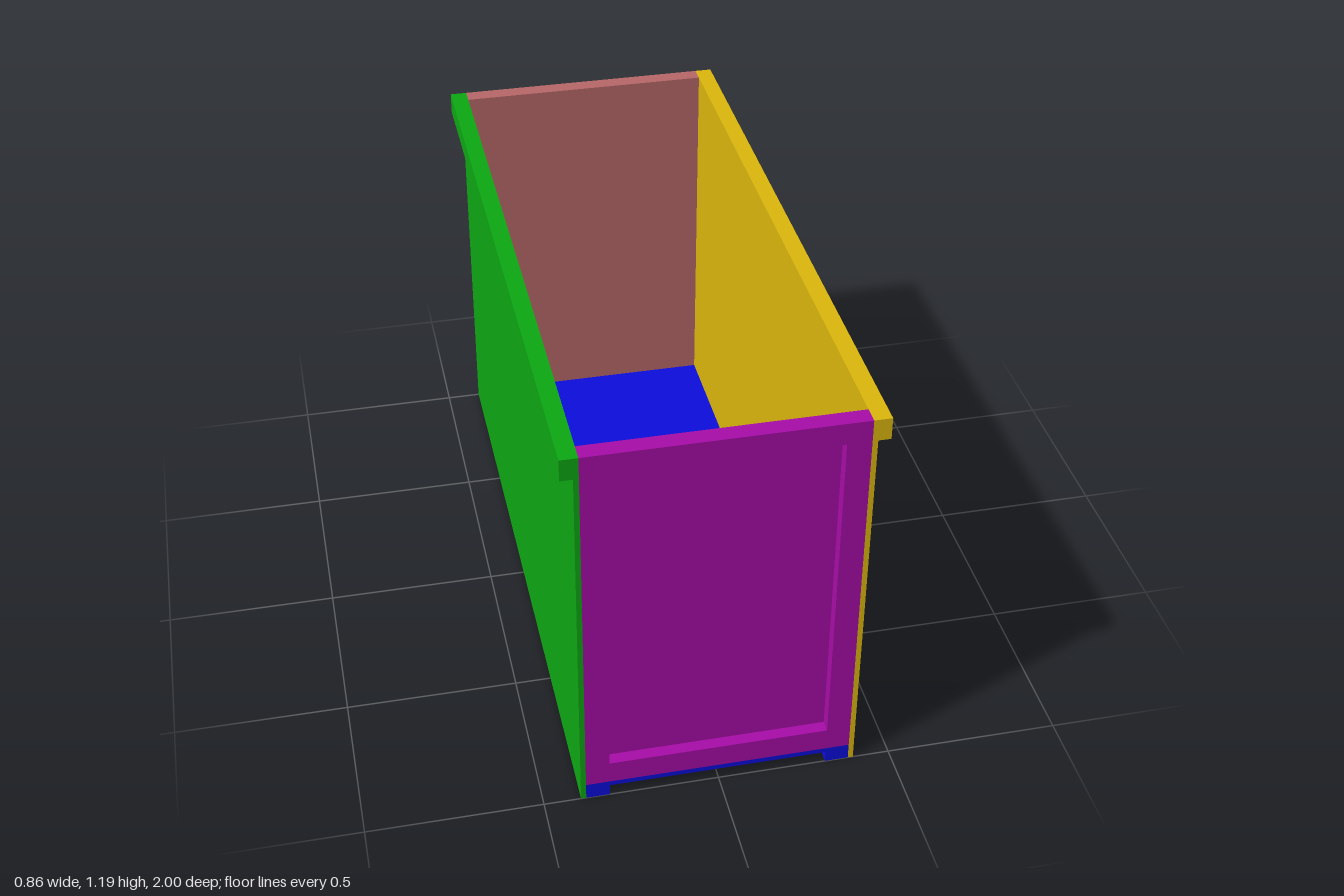
import * as THREE from 'three';

const HALF_X = 0.38;   // inner face of the side walls
const TOP = 1.19;
const SHEET = 0.015;   // sheet thickness
const FLOOR = 0.05;    // top of the floor

const material = (color) => new THREE.MeshStandardMaterial({ color, flatShading: true });

function addMesh(parent, name, geometry, mat, x = 0, y = 0, z = 0) {
  const mesh = new THREE.Mesh(geometry, mat);
  mesh.name = name;
  mesh.position.set(x, y, z);
  parent.add(mesh);
  return mesh;
}

const polygon = (points) => new THREE.Shape(points.map(([x, y]) => new THREE.Vector2(x, y)));

const rectangle = (x, y0, y1) => [[-x, y0], [x, y0], [x, y1], [-x, y1]];

// Cross-section in x/y swept along the full length
function lengthwise(points) {
  return new THREE.ExtrudeGeometry(polygon(points), { depth: 2, bevelEnabled: false }).translate(0, 0, -1);
}

// Side wall with its outward top rail, on side s (+1 or -1)
function sideWall(s) {
  const outer = HALF_X + SHEET, rail = 0.43, railBottom = 1.125;
  return lengthwise([
    [HALF_X, 0], [outer, 0], [outer, railBottom], [rail, railBottom], [rail, TOP], [HALF_X, TOP],
  ].map(([x, y]) => [x * s, y]));
}

// End wall: thin sheet behind a raised frame, outer face at z = 1
function endWall(name, color) {
  const group = new THREE.Group();
  group.name = name;
  const mat = material(color);
  const frame = polygon(rectangle(HALF_X, FLOOR, TOP));
  frame.holes.push(polygon(rectangle(0.3125, 0.12, 1.125)));
  const frameDepth = 0.035;
  addMesh(group, name + 'Frame',
    new THREE.ExtrudeGeometry(frame, { depth: frameDepth, bevelEnabled: false }), mat, 0, 0, 1 - frameDepth);
  addMesh(group, name + 'Sheet',
    new THREE.BoxGeometry(2 * HALF_X, TOP - FLOOR, SHEET), mat,
    0, (TOP + FLOOR) / 2, 1 - frameDepth - SHEET / 2);
  return group;
}

export function createModel() {
  const model = new THREE.Group();
  model.name = 'openContainer';

  // Floor with a runner along each long edge
  const inner = 0.3125, under = FLOOR - SHEET;
  addMesh(model, 'floor', lengthwise([
    [-HALF_X, 0], [-inner, 0], [-inner, under], [inner, under],
    [inner, 0], [HALF_X, 0], [HALF_X, FLOOR], [-HALF_X, FLOOR],
  ]), material(0x0d0ddd));

  // Long walls
  addMesh(model, 'leftWall', sideWall(1), material(0xddb80d));
  addMesh(model, 'rightWall', sideWall(-1), material(0x0da813));

  // End walls
  model.add(endWall('frontWall', 0xa80da8));
  const back = endWall('backWall', 0xb86868);
  back.rotation.y = Math.PI;
  model.add(back);

  return model;
}
